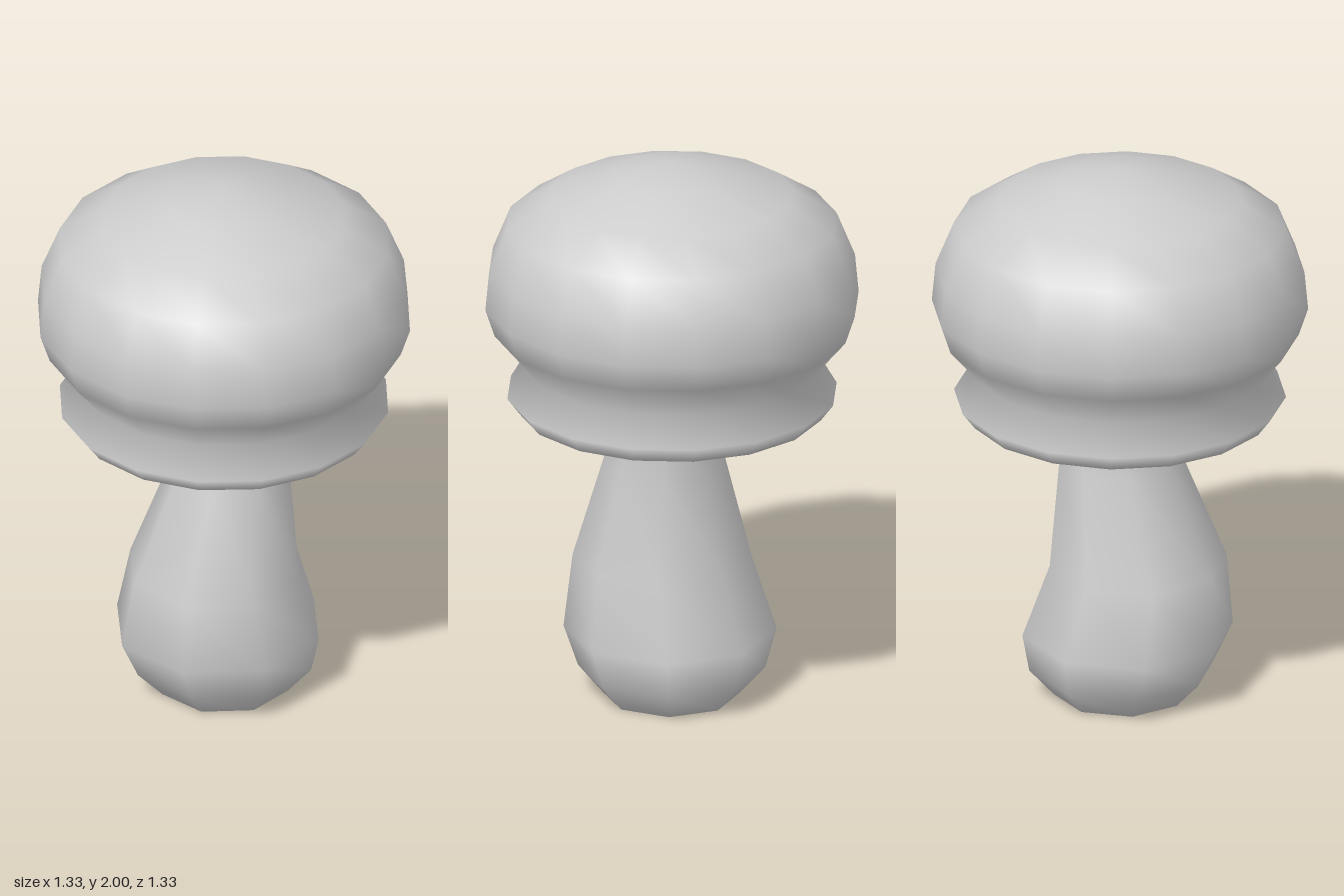
import * as THREE from 'three';
import { mergeVertices } from 'three/addons/utils/BufferGeometryUtils.js';

const material = new THREE.MeshStandardMaterial({ color: 0xcccccc });

// Lathe from [radius, y] pairs, welded so shading runs smoothly over the seam
function smoothLathe(profile, sides, start = 0, reshape = null) {
  const points = profile.map(([r, y]) => new THREE.Vector2(r, y));
  const geometry = new THREE.LatheGeometry(points, sides, start);
  if (reshape) reshape(geometry.attributes.position);
  geometry.deleteAttribute('uv');
  geometry.deleteAttribute('normal');
  const welded = mergeVertices(geometry, 1e-4);
  welded.computeVertexNormals();
  return welded;
}

function addPart(group, name, geometry) {
  const mesh = new THREE.Mesh(geometry, material);
  mesh.name = name;
  group.add(mesh);
}

export function createModel() {
  const group = new THREE.Group();
  group.name = 'mushroom';

  // Cap: hollow underside, flared lip, pinched waist and domed crown
  addPart(group, 'cap', smoothLathe([
    [0, 1.27], [0.25, 1.25], [0.54, 1.08], [0.585, 1.14], [0.52, 1.25],
    [0.63, 1.38], [0.663, 1.48], [0.65, 1.62], [0.585, 1.78],
    [0.43, 1.88], [0.205, 1.96], [0, 2],
  ], 16));

  // Stem rings: radius, height, and the sideways drift of each ring's centre
  const rings = [
    [0, 0, 0, 0],
    [0.24, 0, 0, 0.005],
    [0.33, 0.1, -0.005, 0.005],
    [0.375, 0.24, -0.018, 0.022],
    [0.315, 0.5, -0.022, 0.06],
    [0.215, 0.89, 0.03, 0.01],
    [0.182, 1.1, 0.015, 0.005],
    [0.25, 1.24, 0, 0],
    [0, 1.26, 0, 0],
  ];
  // Eight-sided stem, bent by shifting every ring
  addPart(group, 'stem', smoothLathe(rings, 8, -0.17, (position) => {
    for (let i = 0; i < position.count; i++) {
      const [, , dx, dz] = rings[i % rings.length];
      position.setX(i, position.getX(i) + dx);
      position.setZ(i, position.getZ(i) + dz);
    }
  }));

  return group;
}
